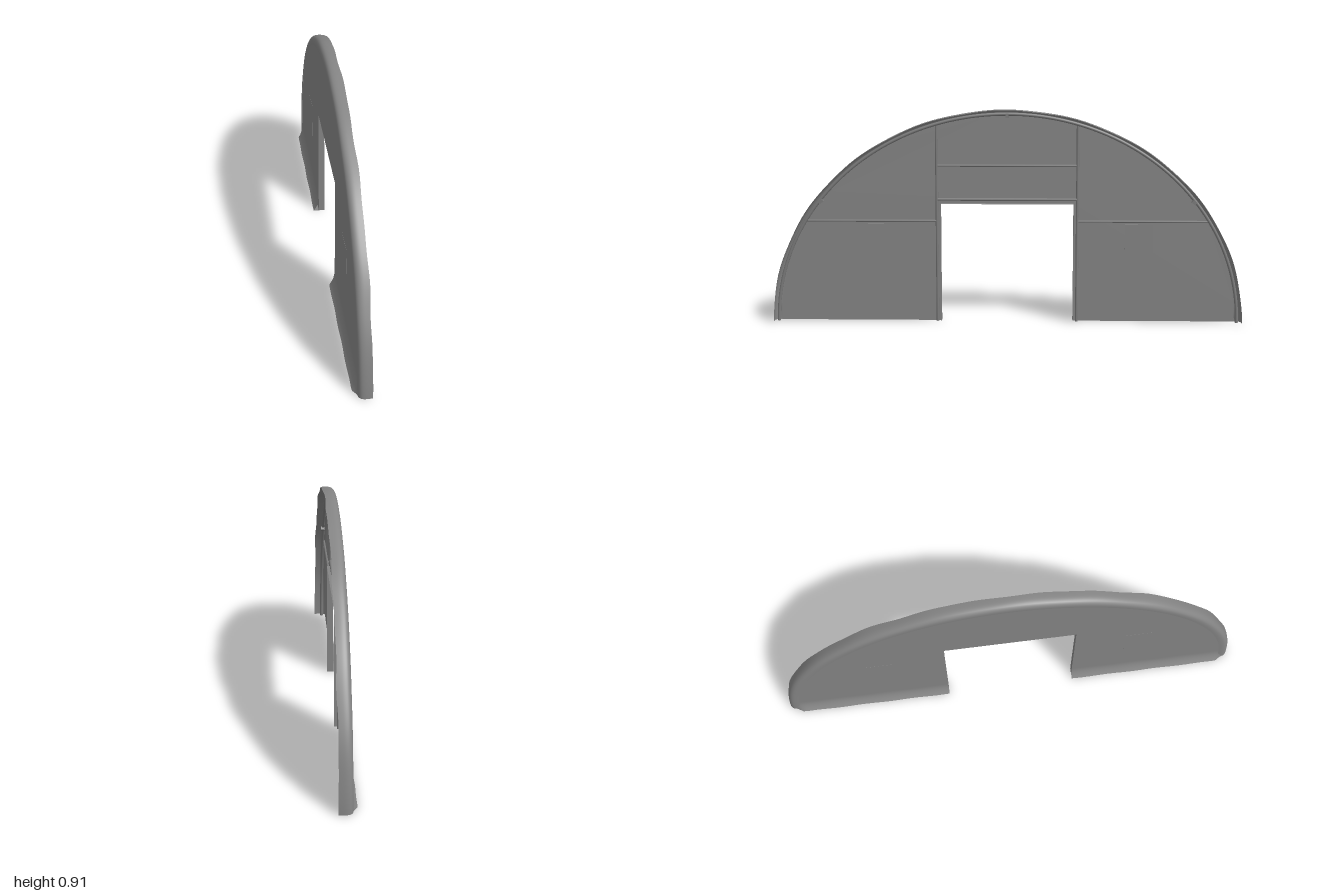
import * as THREE from 'three';

const A = 1, B = 0.91;            // arch half width and height
const WALL_X = -0.015;            // plane of the fabric wall
const DOOR_Z = 0.28, DOOR_Y = 0.51;

const fabric = new THREE.MeshStandardMaterial({ color: 0x858585, side: THREE.DoubleSide });
const metal = new THREE.MeshStandardMaterial({ color: 0x7c7c7c });

// Point on the arch, moved inwards by inset; t runs 0..1 from +z to -z
const arch = (t, inset, x) => new THREE.Vector3(
  x, Math.sin(t * Math.PI) * (B - inset), Math.cos(t * Math.PI) * (A - inset));
const archHeight = (z, inset) => (B - inset) * Math.sqrt(1 - (z / (A - inset)) ** 2);
const archReach = (y, inset) => (A - inset) * Math.sqrt(1 - (y / (B - inset)) ** 2);

// Smooth sheet through a grid of points given by point(u, v)
function sheet(nu, nv, point) {
  const pos = [], idx = [];
  for (let i = 0; i <= nu; i++) {
    for (let j = 0; j <= nv; j++) pos.push(...point(i / nu, j / nv).toArray());
  }
  for (let i = 0; i < nu; i++) {
    for (let j = 0; j < nv; j++) {
      const a = i * (nv + 1) + j, b = a + nv + 1;
      idx.push(a, a + 1, b, b, a + 1, b + 1);
    }
  }
  const g = new THREE.BufferGeometry();
  g.setAttribute('position', new THREE.Float32BufferAttribute(pos, 3));
  g.setIndex(idx);
  g.computeVertexNormals();
  return g;
}

export function createModel() {
  const group = new THREE.Group();
  const add = (name, geometry, material) => {
    const mesh = new THREE.Mesh(geometry, material);
    mesh.name = name;
    group.add(mesh);
    return mesh;
  };
  const pole = (name, a, b, r) => {
    const from = new THREE.Vector3(...a), dir = new THREE.Vector3(...b).sub(from);
    const m = add(name, new THREE.CylinderGeometry(r, r, dir.length(), 10), metal);
    m.position.copy(from).addScaledVector(dir, 0.5);
    m.quaternion.setFromUnitVectors(new THREE.Vector3(0, 1, 0), dir.normalize());
  };

  // Flat fabric wall with the doorway left open
  const wall = new THREE.Shape();
  wall.moveTo(DOOR_Z, 0);
  for (let i = 0; i <= 64; i++) {
    const p = arch(i / 64, 0.03, 0);
    wall.lineTo(p.z, p.y);
  }
  wall.lineTo(-DOOR_Z, 0);
  wall.lineTo(-DOOR_Z, DOOR_Y);
  wall.lineTo(DOOR_Z, DOOR_Y);
  wall.closePath();
  const wallGeometry = new THREE.ShapeGeometry(wall).rotateY(-Math.PI / 2);
  add('fabricWall', wallGeometry.translate(WALL_X, 0, 0), fabric);

  // Rounded fabric rim wrapped over the arch, with a slightly wavy free edge
  const rim = new THREE.CatmullRomCurve3([
    [-0.0185, 0.045], [-0.0195, 0.028], [-0.017, 0.014], [-0.008, 0.004],
    [0.006, 0], [0.022, 0], [0.035, 0.001],
  ].map(([x, d]) => new THREE.Vector3(x, d, 0)));
  add('fabricRim', sheet(96, 16, (u, v) => {
    const s = rim.getPoint(v);
    const wave = Math.sin(u * 47) * 0.6 + Math.sin(u * 83 + 1) * 0.4;
    const pucker = 0.0015 * (1 + Math.sin(u * 61)) * v;
    return arch(u, s.y + pucker, s.x + wave * 0.003 * v * v);
  }), fabric);

  // Skirts that flare outwards to the ground, fading into the rim and folded
  // back underneath to the wall
  const skirtHeight = 0.07;
  const skirtPoint = (u, v, side) => {
    const y = skirtHeight * (1 - v);
    const z = DOOR_Z + u * (archReach(y, 0.02) - DOOR_Z);
    const fade = 1 - THREE.MathUtils.smoothstep(u, 0.94, 1);
    const flare = 0.022 * v ** 2.2 * fade + 0.001 * v * Math.sin(u * 20);
    return new THREE.Vector3(WALL_X - 0.001 - flare, y, side * z);
  };
  for (const side of [1, -1]) {
    add('fabricSkirt', sheet(40, 8, (u, v) => skirtPoint(u, v, side)), fabric);
    add('skirtFold', sheet(40, 1, (u, v) => {
      const p = skirtPoint(u, 1, side);
      p.x += (WALL_X - p.x) * v;
      return p;
    }), fabric);
  }

  // Window flaps lying against the inside of the wall
  for (const side of [1, -1]) {
    const flap = add('windowFlap', new THREE.BoxGeometry(0.002, 0.18, 0.12), fabric);
    flap.position.set(WALL_X + 0.0005, 0.33, side * 0.56);
  }

  // Fabric turned in around the doorway
  const jambDepth = 0.026;
  for (const side of [1, -1]) {
    const jamb = add('doorJamb', new THREE.PlaneGeometry(jambDepth, DOOR_Y), fabric);
    jamb.position.set(WALL_X + jambDepth / 2, DOOR_Y / 2, side * DOOR_Z);
    jamb.rotation.y = side > 0 ? Math.PI : 0;
  }
  const lintel = add('doorLintel', new THREE.PlaneGeometry(jambDepth, DOOR_Z * 2).rotateX(Math.PI / 2), fabric);
  lintel.position.set(WALL_X + jambDepth / 2, DOOR_Y, 0);

  // Tubular arch
  const points = Array.from({ length: 41 }, (_, i) => arch(i / 40, 0.02, 0.002));
  add('archTube', new THREE.TubeGeometry(new THREE.CatmullRomCurve3(points), 96, 0.007, 10), metal);

  // Upright posts and horizontal rails
  const px = -0.005, postZ = 0.297;
  for (const side of [1, -1]) {
    pole('doorPost', [px, 0, side * postZ], [px, archHeight(postZ, 0.02), side * postZ], 0.006);
    pole('sideRail', [px, 0.435, side * postZ], [px, 0.435, side * archReach(0.435, 0.02)], 0.005);
  }
  pole('doorHeader', [px, 0.528, -postZ], [px, 0.528, postZ], 0.006);
  pole('upperRail', [px, 0.672, -postZ], [px, 0.672, postZ], 0.005);

  // Small clamps along the arch tube
  for (const t of [0.2, 0.5, 0.8]) {
    const clamp = add('archClamp', new THREE.BoxGeometry(0.018, 0.02, 0.014), metal);
    clamp.position.copy(arch(t, 0.026, 0.004));
    clamp.rotation.x = (t - 0.5) * Math.PI;
  }
  return group;
}
